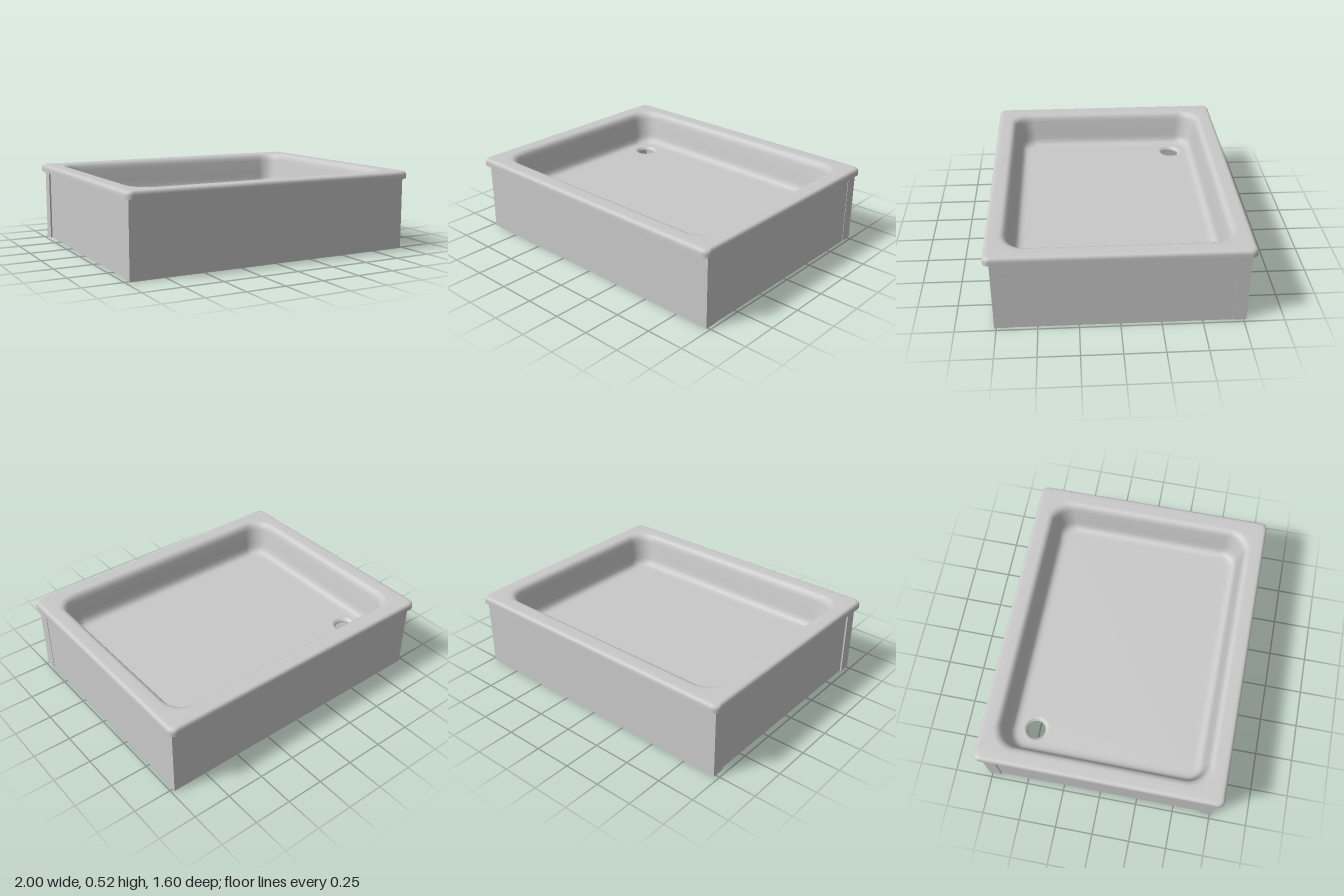
import * as THREE from 'three';

const HX = 1, HZ = 0.8;     // outer half sizes of the rim
const SHEET = 0.008;        // thickness of the tray shell
const FLOOR = 0.29, UNDER = FLOOR - SHEET;
const DRAIN = { x: -0.68, z: -0.48, r: 0.082 };

// Rounded rectangle ring, inset by d with corner radius r, as [x, z] pairs
function ring(d, r, steps = 12) {
  const pts = [];
  const corners = [[1, 1], [-1, 1], [-1, -1], [1, -1]];
  corners.forEach(([sx, sy], q) => {
    for (let i = 0; i <= steps; i++) {
      const a = (q + i / steps) * Math.PI / 2;
      pts.push([sx * (HX - d - r) + r * Math.cos(a), -(sy * (HZ - d - r) + r * Math.sin(a))]);
    }
  });
  return pts;
}

// Smooth skin through rings given as [inset, y, corner radius]
function loft(profile) {
  const pos = [], index = [];
  let n = 0;
  for (const [d, y, r] of profile) {
    const pts = ring(d, r);
    n = pts.length;
    for (const [x, z] of pts) pos.push(x, y, z);
  }
  for (let j = 0; j < profile.length - 1; j++) {
    for (let i = 0; i < n; i++) {
      const a = j * n + i, b = j * n + (i + 1) % n;
      index.push(a, b, a + n, b, b + n, a + n);
    }
  }
  const g = new THREE.BufferGeometry();
  g.setAttribute('position', new THREE.Float32BufferAttribute(pos, 3));
  g.setIndex(index);
  g.computeVertexNormals();
  return g;
}

// The same profile moved inward by the sheet thickness, in reverse order
function innerProfile(profile) {
  return profile.map(([d, y, r], i) => {
    const p = profile[Math.max(i - 1, 0)], q = profile[Math.min(i + 1, profile.length - 1)];
    const len = Math.hypot(q[0] - p[0], q[1] - p[1]);
    const shift = SHEET * (q[1] - p[1]) / len;
    return [d + shift, y - SHEET * (q[0] - p[0]) / len, r - shift];
  }).reverse();
}

// Flat floor with a round drain opening, facing up (1) or down (-1)
function floorPlate(d, r, facing) {
  const shape = new THREE.Shape(ring(d, r).map(([x, z]) => new THREE.Vector2(x, -z)));
  const hole = new THREE.Path();
  hole.absarc(DRAIN.x, -DRAIN.z * facing, DRAIN.r, 0, Math.PI * 2, true);
  shape.holes.push(hole);
  return new THREE.ShapeGeometry(shape, 20).rotateX(-facing * Math.PI / 2);
}

export function createModel() {
  const model = new THREE.Group();
  model.name = 'showerTray';
  const grey = new THREE.MeshStandardMaterial({ color: 0xc9c9c9 });
  grey.name = 'grey';

  const add = (name, geometry, x = 0, y = 0, z = 0) => {
    const mesh = new THREE.Mesh(geometry, grey);
    mesh.name = name;
    mesh.position.set(x, y, z);
    model.add(mesh);
  };

  // Rim edge, rounded shoulder, basin wall and cove in one smooth skin
  const profile = [
    [0, 0.471, 0.04], [0, 0.495, 0.04], [0.002, 0.506, 0.04], [0.008, 0.515, 0.04],
    [0.017, 0.519, 0.04], [0.028, 0.52, 0.04], [0.055, 0.52, 0.06], [0.088, 0.52, 0.14],
    [0.102, 0.518, 0.14], [0.116, 0.51, 0.135], [0.127, 0.495, 0.13], [0.135, 0.47, 0.125],
    [0.152, 0.38, 0.115], [0.159, 0.34, 0.11], [0.167, 0.315, 0.105], [0.18, 0.299, 0.1],
    [0.197, 0.292, 0.09], [0.216, FLOOR, 0.08], [0.236, FLOOR, 0.07],
  ];
  const inner = innerProfile(profile);
  add('rimAndBasin', loft(profile));
  add('basinUnderside', loft(inner));
  add('rimLowerEdge', loft([inner[inner.length - 1], profile[0]]));
  add('basinFloor', floorPlate(0.236, 0.07, 1), 0, FLOOR, 0);
  add('floorUnderside', floorPlate(0.236, 0.07, -1), 0, UNDER, 0);

  // Softly sunk drain dish with an open outlet, top and underside
  const dish = [[DRAIN.r, FLOOR], [0.076, 0.289], [0.07, 0.285], [0.064, 0.279], [0.058, 0.272]];
  const under = dish.map(([r, y]) => [r, y - SHEET]).reverse();
  const lathe = (pts) => new THREE.LatheGeometry(pts.map(([r, y]) => new THREE.Vector2(r, y)), 40);
  add('drainDish', lathe(dish), DRAIN.x, 0, DRAIN.z);
  add('drainOutlet', lathe([dish[4], under[0]]), DRAIN.x, 0, DRAIN.z);
  add('drainUnderside', lathe(under), DRAIN.x, 0, DRAIN.z);

  // Skirt panels as [name, x0, x1, z0, z1]: long ones full width, short ones between
  const T = 0.08, H = 0.505;
  const front = 0.762, back = -0.768, left = 0.979, right = -0.972;
  const panels = [
    ['frontPanel', right, left, front - T, front],
    ['backPanel', right, left, back, back + T],
    ['leftPanel', left - T, left - 0.003, back + T, front - T],
    ['rightPanel', right + 0.011, right + 0.011 + T, back + T, front - T],
  ];
  for (const [name, x0, x1, z0, z1] of panels) {
    add(name, new THREE.BoxGeometry(x1 - x0, H, z1 - z0), (x0 + x1) / 2, H / 2, (z0 + z1) / 2);
  }
  return model;
}
